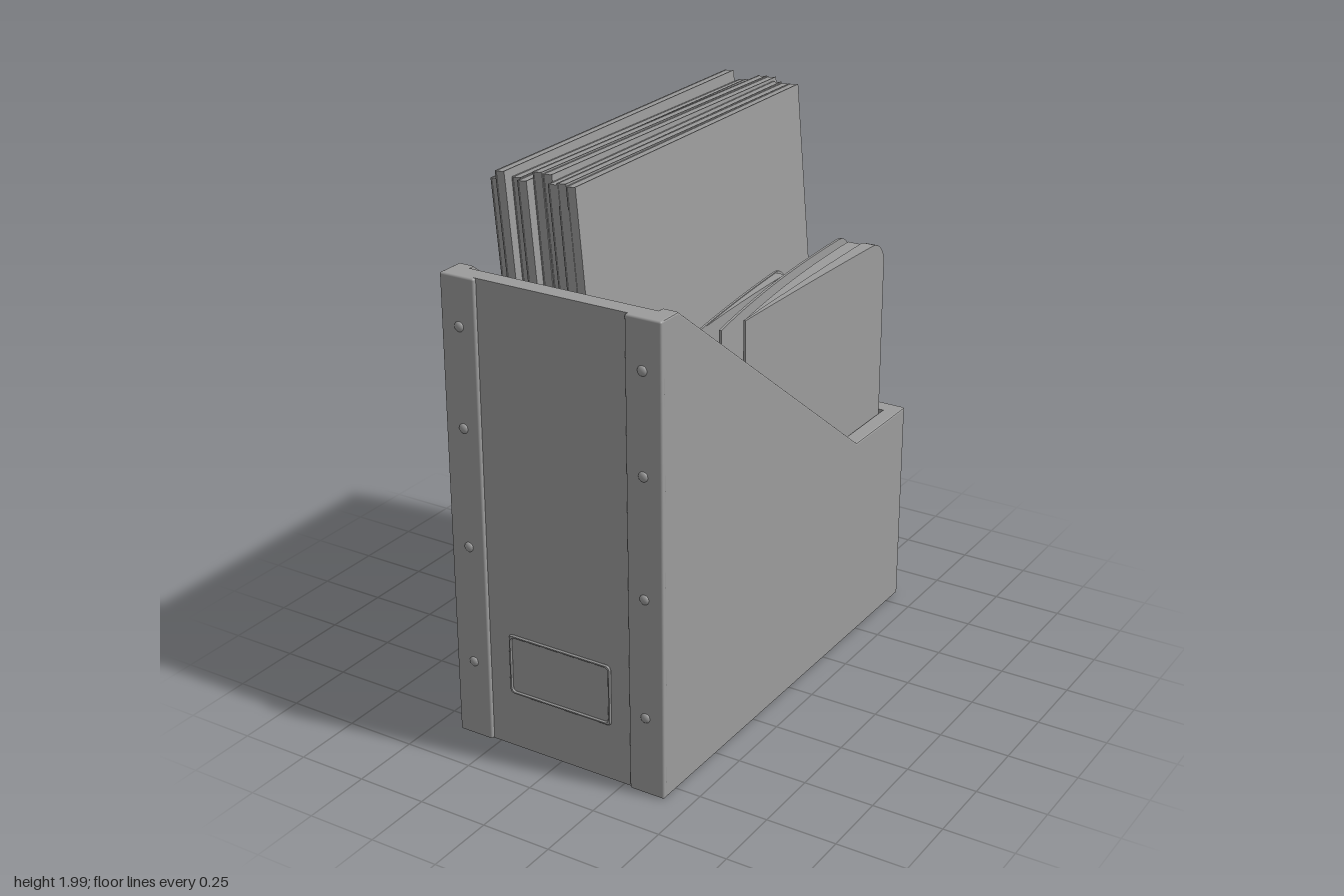
import * as THREE from 'three';
import { toCreasedNormals } from 'three/addons/utils/BufferGeometryUtils.js';
import { RoundedBoxGeometry } from 'three/addons/geometries/RoundedBoxGeometry.js';

const material = new THREE.MeshStandardMaterial({ color: 0x9c9c9c });
const FLOOR = 0.05;

function add(parent, name, geometry, x = 0, y = 0, z = 0) {
  const mesh = new THREE.Mesh(geometry, material);
  mesh.name = name;
  mesh.position.set(x, y, z);
  parent.add(mesh);
  return mesh;
}

const box = (w, h, d) => new THREE.BoxGeometry(w, h, d);

function roundedRect(path, w, h, r) {
  const x = w / 2, y = h / 2;
  path.moveTo(-x + r, -y).lineTo(x - r, -y).quadraticCurveTo(x, -y, x, -y + r);
  path.lineTo(x, y - r).quadraticCurveTo(x, y, x - r, y);
  path.lineTo(-x + r, y).quadraticCurveTo(-x, y, -x, y - r);
  path.lineTo(-x, -y + r).quadraticCurveTo(-x, -y, -x + r, -y);
  return path;
}

// Upright curved slab: four-cornered sections along z, rounded at its rear top corner.
// left and right give the top edges as functions of t (0 rear, 1 front).
function bentSlab({ z0, z1, left, right, top, lean, radius }) {
  const ts = [];
  for (let i = 0; i <= 8 && radius; i++) ts.push(radius * (1 - Math.cos(i * Math.PI / 16)) / (z1 - z0));
  const start = ts.length ? ts.pop() : 0;
  for (let i = 0; i <= 16; i++) ts.push(start + (1 - start) * i / 16);
  const positions = [], index = [];
  ts.forEach((t, i) => {
    const z = z0 + (z1 - z0) * t;
    const d = Math.max(0, radius - (z - z0));
    const y = top - radius + Math.sqrt(Math.max(0, radius * radius - d * d));
    const l = left(t), r = right(t), s = lean * (top - y) / (top - FLOOR);
    positions.push(l + lean, FLOOR, z, r + lean, FLOOR, z, r + s, y, z, l + s, y, z);
    if (i === 0) return;
    const a = (i - 1) * 4, b = i * 4;
    for (let k = 0; k < 4; k++) {
      const n = (k + 1) % 4;
      index.push(a + k, a + n, b + n, a + k, b + n, b + k);
    }
  });
  const e = (ts.length - 1) * 4;
  index.push(0, 2, 1, 0, 3, 2, e, e + 1, e + 2, e, e + 2, e + 3);
  const geometry = new THREE.BufferGeometry();
  geometry.setAttribute('position', new THREE.Float32BufferAttribute(positions, 3));
  geometry.setIndex(index);
  return toCreasedNormals(geometry, 0.5);
}

function createHolder() {
  const holder = new THREE.Group();
  holder.name = 'fileHolder';

  // Side walls with the sloping cut and slightly softened edges
  const profile = new THREE.Shape([
    [-0.815, 0], [0.834, 0], [0.834, 0.77], [0.46, 0.77], [-0.73, 1.66], [-0.815, 1.66],
  ].map(([x, y]) => new THREE.Vector2(x, y)));
  const soft = 0.006;
  for (const side of [-1, 1]) {
    const geometry = new THREE.ExtrudeGeometry(profile, {
      depth: 0.06 - 2 * soft, bevelThickness: soft, bevelSize: soft, bevelOffset: -soft, bevelSegments: 2,
    });
    geometry.rotateY(Math.PI / 2);
    add(holder, side > 0 ? 'leftWall' : 'rightWall', geometry, (side > 0 ? 0.35 : -0.41) + soft);
  }

  // Front, back and floor
  add(holder, 'frontWall', box(0.712, 1.66, 0.062), 0, 0.83, 0.784);
  add(holder, 'backWall', box(0.712, 0.77, 0.062), 0, 0.385, -0.803);
  add(holder, 'floor', box(0.712, FLOOR, 1.53), 0, FLOOR / 2, -0.01);

  // Riveted corner straps
  for (const side of [-1, 1]) {
    add(holder, 'cornerStrap', new RoundedBoxGeometry(0.132, 1.66, 0.022, 2, 0.007), side * 0.345, 0.83, 0.817);
    for (const y of [0.285, 0.715, 1.14, 1.49]) {
      const rivet = new THREE.SphereGeometry(0.018, 16, 6, 0, Math.PI * 2, 0, Math.PI / 2);
      rivet.rotateX(Math.PI / 2).scale(1, 1, 0.6);
      add(holder, 'rivet', rivet, side * 0.342, y, 0.826);
    }
  }

  // Label frame with bevelled rim
  const frame = roundedRect(new THREE.Shape(), 0.405, 0.225, 0.02);
  frame.holes.push(roundedRect(new THREE.Path(), 0.38, 0.2, 0.015));
  add(holder, 'labelFrame', new THREE.ExtrudeGeometry(frame, {
    depth: 0.003, bevelThickness: 0.005, bevelSize: 0.004, bevelOffset: -0.004, bevelSegments: 1,
  }), 0, 0.315, 0.813);
  return holder;
}

// Leaning row of magazines, each two covers around a block of pages
function createMagazines() {
  const row = new THREE.Group();
  row.name = 'magazineRow';
  const heights = [1.909, 1.942, 1.909, 1.911, 1.925, 1.921, 1.905, 1.906, 1.903];
  const shifts = [0.0, 0.012, -0.004, 0.004, -0.012, -0.018, -0.01, 0.006, 0.0];
  const tilts = [0.002, 0.006, -0.004, 0.003, -0.007, -0.005, 0.004, -0.003, 0.002];
  const pitch = 0.0355;
  heights.forEach((h, i) => {
    const magazine = new THREE.Group();
    magazine.name = 'magazine';
    for (const side of [-1, 1]) add(magazine, 'cover', box(0.004, h, 1.375), side * 0.0155, h / 2);
    add(magazine, 'pages', box(0.028, h - 0.003, 1.371), 0, h / 2);
    magazine.position.set((i - 4) * pitch, 0, shifts[i]);
    magazine.rotation.x = tilts[i];
    row.add(magazine);
  });
  row.position.set(0.026, FLOOR + 0.012, 0);
  row.rotation.z = 0.088;
  return row;
}

// Two sagging booklets beside the magazines
function createBooklets() {
  const booklets = new THREE.Group();
  booklets.name = 'booklets';
  const slab = (name, options) => add(booklets, name, bentSlab(options));

  // Fanned booklet at the rear
  const inner = t => 0.2 + 0.1 * t * t;
  const outer = t => 0.347 - 0.03 * t + 0.014 * t * t;
  slab('innerCover', {
    z0: -0.745, z1: 0.315, top: 1.44, radius: 0.085, lean: 0.036,
    left: inner, right: t => inner(t) + 0.009,
  });
  slab('outerCover', {
    z0: -0.745, z1: 0.2, top: 1.44, radius: 0.085, lean: 0.003,
    left: t => outer(t) - 0.045 * (1 - t) - 0.008, right: outer,
  });
  slab('fannedPages', {
    z0: -0.66, z1: 0.17, top: 1.438, radius: 0, lean: 0,
    left: t => inner(0.08 + 0.78 * t) + 0.045,
    right: t => outer(0.09 + 0.88 * t) - 0.003,
  });

  // Thinner booklet nearer the front
  const curve = t => 0.172 + 0.065 * t + 0.065 * t * t;
  slab('frontCover', {
    z0: -0.33, z1: 0.705, top: 1.44, radius: 0.08, lean: 0.022,
    left: curve, right: t => curve(t) + 0.008,
  });
  slab('frontPages', {
    z0: -0.25, z1: 0.3, top: 1.437, radius: 0, lean: 0.022,
    left: t => curve(0.077 + 0.532 * t) + 0.007,
    right: t => curve(0.077 + 0.532 * t) + 0.009 + 0.034 * (1 - t),
  });
  return booklets;
}

export function createModel() {
  const model = new THREE.Group();
  model.name = 'magazineFile';
  model.add(createHolder(), createMagazines(), createBooklets());
  return model;
}
